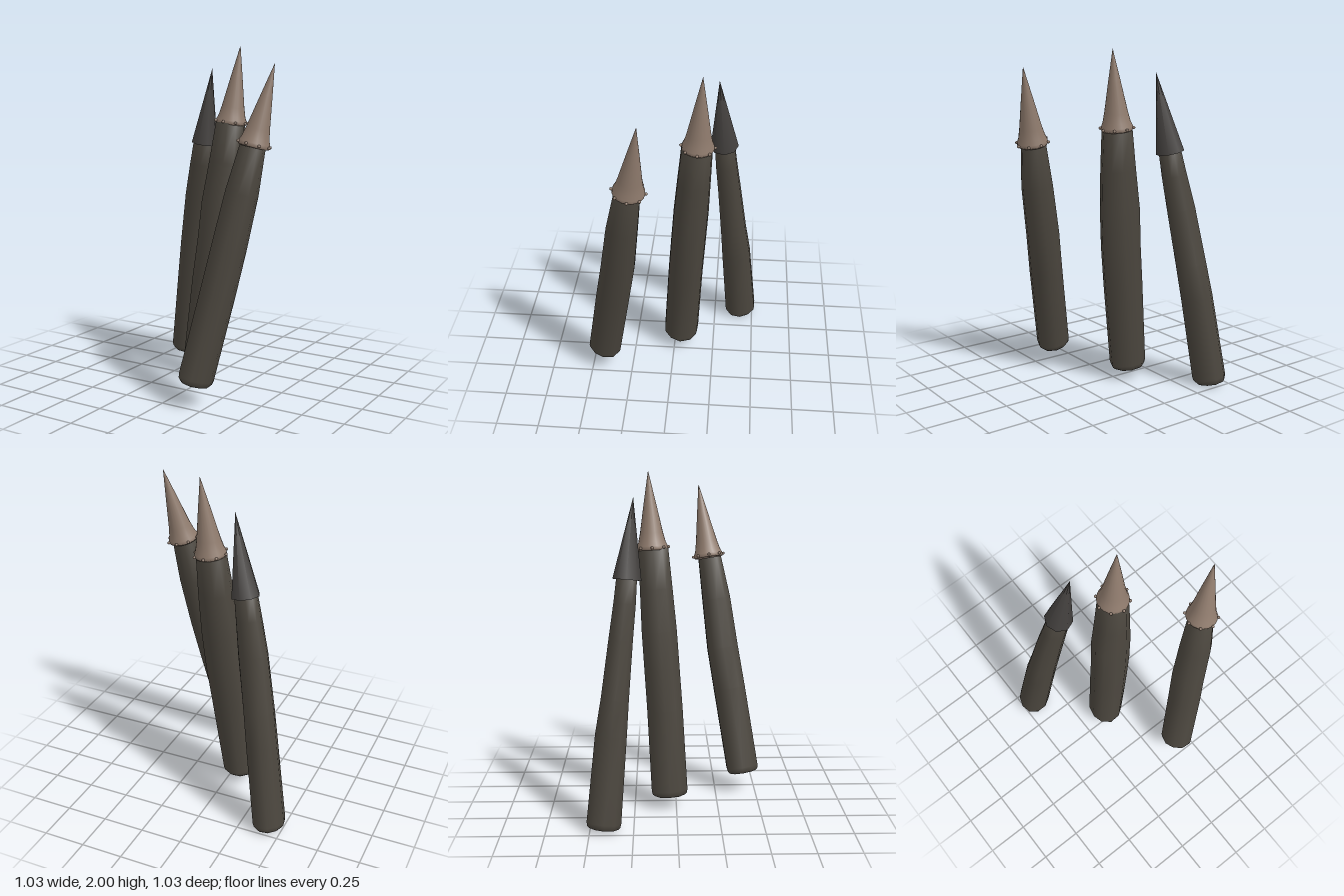
import * as THREE from 'three';

const wood = new THREE.MeshStandardMaterial({ color: 0x4b463e });
const tan = new THREE.MeshStandardMaterial({ color: 0x8f7b6d });
const dark = new THREE.MeshStandardMaterial({ color: 0x44413f });
wood.name = 'dark wood';
tan.name = 'tan metal';
dark.name = 'charcoal metal';

const SIDES = 10;

// Bent pole lofted from rings [x, y, z, radiusX, radiusZ], with a bevelled foot
function poleGeometry(rings, seed) {
  const centres = rings.map(r => new THREE.Vector3(r[0], r[1], r[2]));
  const last = rings.length - 1;
  const tangent = i => centres[Math.min(i + 1, last)].clone()
    .sub(centres[Math.max(i - 1, 0)]).normalize();
  const sections = [];
  const add = (i, lift, scale) => {
    const t = tangent(i);
    sections.push({ t, c: centres[i].clone().addScaledVector(t, lift), rx: rings[i][3] * scale, rz: rings[i][4] * scale });
  };
  add(0, -0.002, 0);
  add(0, 0, 0.86);
  add(0, 0.012, 0.96);
  add(0, 0.035, 1);
  for (let i = 1; i <= last; i++) add(i, 0, 1);
  add(last, 0, 0);

  const pos = [], index = [];
  sections.forEach(({ t, c, rx, rz }, i) => {
    const v = new THREE.Vector3(1, 0, 0).cross(t).normalize();
    const u = t.clone().cross(v).normalize();
    for (let j = 0; j < SIDES; j++) {
      const a = j / SIDES * Math.PI * 2;
      const k = 1 + 0.035 * Math.sin(3 * a + seed);
      const p = c.clone().addScaledVector(u, rx * k * Math.cos(a)).addScaledVector(v, rz * k * Math.sin(a));
      pos.push(p.x, p.y, p.z);
      if (i === sections.length - 1) continue;
      const n = (j + 1) % SIDES, lo = i * SIDES, hi = lo + SIDES;
      if (i > 0) index.push(lo + j, hi + j, lo + n);
      if (i < sections.length - 2) index.push(hi + j, hi + n, lo + n);
    }
  });
  const g = new THREE.BufferGeometry();
  g.setAttribute('position', new THREE.Float32BufferAttribute(pos, 3));
  g.setIndex(index);
  g.computeVertexNormals();
  return g;
}

function mesh(name, geometry, material, parent) {
  const m = new THREE.Mesh(geometry, material);
  m.name = name;
  parent.add(m);
  return m;
}

// Group standing at base with its y axis pointing at the tip
function aimedGroup(name, base, tip) {
  const g = new THREE.Group();
  g.name = name;
  g.position.set(...base);
  const axis = new THREE.Vector3(...tip).sub(g.position);
  g.userData.length = axis.length();
  g.quaternion.setFromUnitVectors(new THREE.Vector3(0, 1, 0), axis.normalize());
  return g;
}

// Flared pointed cap with a rim of studs
function studdedCap(base, tip, r) {
  const g = aimedGroup('studdedCap', base, tip);
  const h = g.userData.length;
  const profile = [[0, -0.008], [r * 0.95, -0.012], [r, -0.004], [r * 0.98, 0.012], [r * 0.87, 0.035],
    [r * 0.73, 0.09], [r * 0.37, 0.27], [0, h]].map(p => new THREE.Vector2(...p));
  mesh('capCone', new THREE.LatheGeometry(profile, 20), tan, g);
  const stud = new THREE.SphereGeometry(0.009, 8, 6);
  for (let i = 0; i < 8; i++) {
    const a = i / 8 * Math.PI * 2;
    mesh('stud', stud, tan, g).position.set(Math.cos(a) * (r + 0.004), 0.002, Math.sin(a) * (r + 0.004));
  }
  return g;
}

// Plain eight-sided pointed cap
function plainCap(base, tip, r) {
  const g = aimedGroup('plainCap', base, tip);
  const h = g.userData.length;
  mesh('capCone', new THREE.ConeGeometry(r, h, 8).translate(0, h / 2, 0), dark, g);
  return g;
}

export function createModel() {
  const model = new THREE.Group();
  model.name = 'sharpenedStakes';

  const stakes = [
    { name: 'rightStake', seed: 0.5, cap: plainCap([-0.2, 1.41, -0.28], [-0.122, 1.865, -0.242], 0.082),
      rings: [[-0.42, 0.018, -0.42, 0.098, 0.102], [-0.345, 0.55, -0.373, 0.094, 0.093],
        [-0.315, 0.75, -0.35, 0.093, 0.082], [-0.262, 1.08, -0.315, 0.088, 0.071],
        [-0.225, 1.28, -0.292, 0.076, 0.065], [-0.198, 1.43, -0.279, 0.066, 0.06]] },
    { name: 'middleStake', seed: 2, cap: studdedCap([0.073, 1.555, -0.138], [0.12, 2, -0.161], 0.092),
      rings: [[-0.08, 0.08, -0.04, 0.108, 0.11], [-0.022, 0.6, -0.068, 0.12, 0.108],
        [0.008, 0.85, -0.085, 0.122, 0.107], [0.026, 1.07, -0.1, 0.122, 0.106],
        [0.052, 1.32, -0.117, 0.104, 0.098], [0.071, 1.55, -0.133, 0.086, 0.09]] },
    { name: 'leftStake', seed: 3.5, cap: studdedCap([0.418, 1.463, 0.21], [0.508, 1.9, 0.149], 0.09),
      rings: [[0.165, 0.13, 0.423, 0.1, 0.102], [0.265, 0.65, 0.338, 0.1, 0.102],
        [0.31, 0.9, 0.296, 0.099, 0.1], [0.367, 1.2, 0.257, 0.094, 0.091],
        [0.41, 1.45, 0.217, 0.072, 0.074]] }
  ];

  for (const { name, seed, cap, rings } of stakes) {
    const stake = new THREE.Group();
    stake.name = name;
    mesh('pole', poleGeometry(rings, seed), wood, stake);
    stake.add(cap);
    model.add(stake);
  }
  return model;
}
